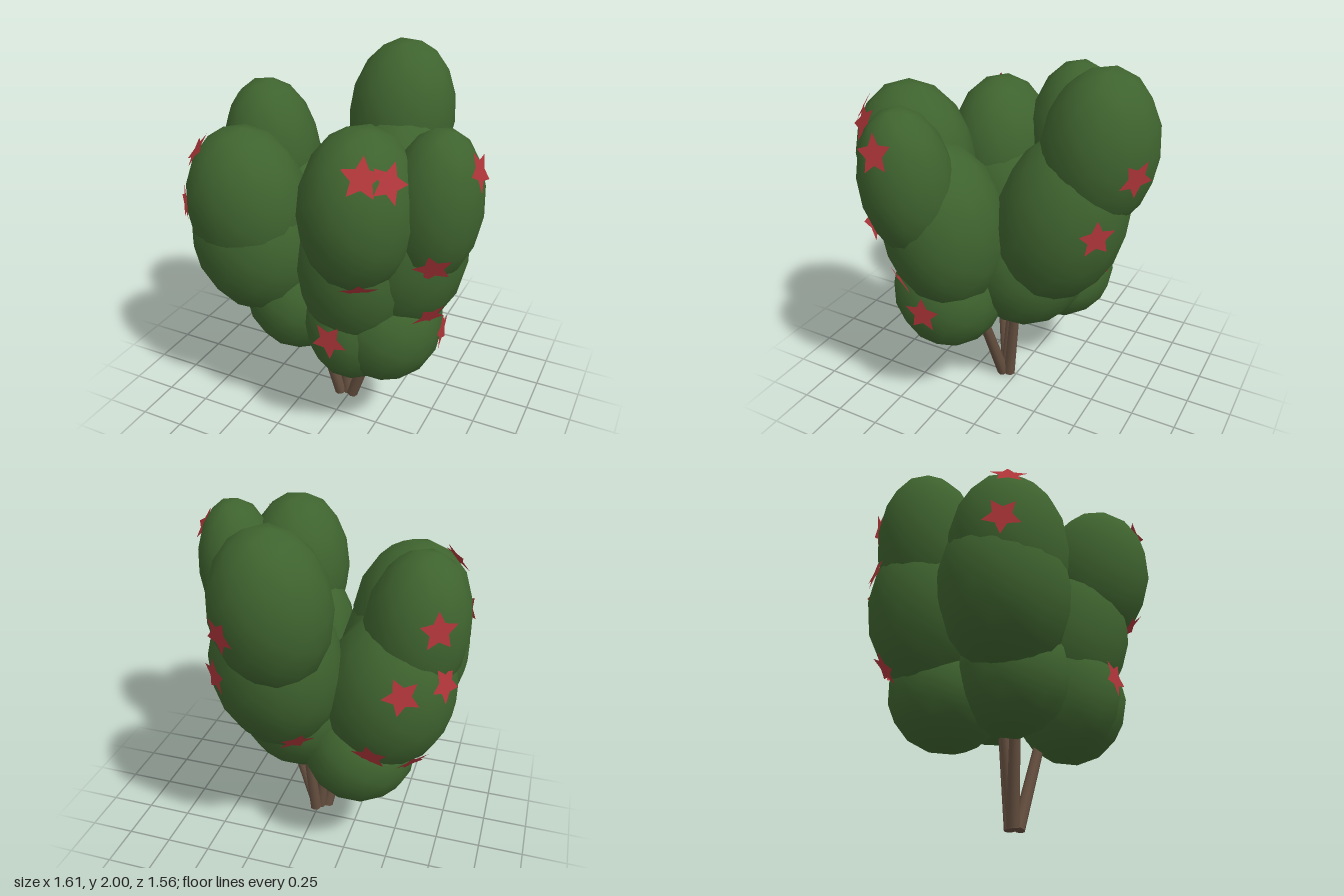
import * as THREE from 'three';

const leafGreen = new THREE.MeshStandardMaterial({ name: 'leafGreen', color: 0x3f642f });
const flowerRed = new THREE.MeshStandardMaterial({ name: 'flowerRed', color: 0xb0363a, side: THREE.DoubleSide });
const barkBrown = new THREE.MeshStandardMaterial({ name: 'barkBrown', color: 0x665040 });

const UP = new THREE.Vector3(0, 1, 0);
const OUT = new THREE.Vector3(0, 0, 1);

// Foliage clumps: centre, radii, lean of the long axis (x, z)
const CLUMPS = {
  backTop: [[0.06, 1.59, -0.49], [0.3, 0.42, 0.29], [0.05, -0.12]],
  backMiddle: [[0.1, 1.2, -0.32], [0.34, 0.5, 0.34], [0.05, -0.3]],
  backLow: [[0.05, 0.87, -0.1], [0.33, 0.38, 0.34], [0, -0.2]],
  sideTop: [[-0.56, 1.4, -0.1], [0.27, 0.42, 0.27], [-0.1, 0]],
  sideMiddle: [[-0.45, 1.05, -0.14], [0.35, 0.45, 0.33], [-0.15, 0]],
  sideLow: [[-0.3, 0.66, -0.14], [0.31, 0.3, 0.31], [0, 0]],
  cornerTop: [[-0.46, 1.27, 0.33], [0.33, 0.43, 0.3], [-0.1, 0.05]],
  cornerMiddle: [[-0.44, 1.07, 0.29], [0.36, 0.43, 0.33], [-0.15, 0.05]],
  cornerLow: [[-0.24, 0.72, 0.2], [0.3, 0.32, 0.3], [-0.1, 0.05]],
  frontTop: [[0.24, 1.43, 0.46], [0.29, 0.42, 0.32], [0.05, 0.1]],
  frontMiddle: [[0.18, 1.05, 0.34], [0.31, 0.45, 0.31], [0.1, 0.15]],
  frontLow: [[0.15, 0.72, 0.3], [0.26, 0.34, 0.3], [0, 0.05]],
  cheekTop: [[0.55, 1.44, 0.3], [0.23, 0.4, 0.24], [0.1, 0.05]],
  cheekMiddle: [[0.37, 1.15, 0.22], [0.33, 0.47, 0.32], [0.12, 0.1]],
  cheekLow: [[0.3, 0.73, 0.25], [0.3, 0.34, 0.31], [0, 0]],
};

// Approximate flower places; each is settled onto the foliage
const FLOWERS = [
  [0.36, 1.71, 0.7], [0.47, 1.69, 0.63], [0.77, 1.68, 0.32], [0.62, 1.21, 0.48],
  [0.31, 1.1, 0.62], [0.14, 0.75, 0.58], [0.58, 0.87, 0.37], [0.59, 0.73, 0.23],
  [-0.65, 1.56, 0.45], [-0.74, 1.28, 0.47], [0.22, 1.55, -0.74], [0.35, 1.26, -0.64],
  [-0.7, 1.51, -0.32], [-0.56, 1.19, -0.42], [-0.72, 1.2, -0.27], [-0.42, 0.8, -0.43],
  [-0.58, 0.81, -0.26], [-0.03, 0.9, -0.46],
];

// Stems: foot and a point further up
const STEMS = [
  [[0.01, 0, 0.04], [0.05, 0.6, -0.03]],
  [[0.02, 0, 0.08], [0.21, 0.55, 0.12]],
  [[-0.05, 0, 0.09], [-0.16, 0.55, 0.18]],
  [[-0.01, 0, 0.07], [-0.06, 0.55, 0.05]],
];

function makeClump([c, r, lean]) {
  const axis = new THREE.Vector3(lean[0], 1, lean[1]).normalize();
  return {
    centre: new THREE.Vector3(...c),
    radii: new THREE.Vector3(...r),
    turn: new THREE.Quaternion().setFromUnitVectors(UP, axis),
  };
}

// Push a point onto the clump that holds it most deeply; return place and normal
function settle(point, clumps) {
  const p = point.clone();
  let normal = OUT.clone();
  for (let pass = 0; pass < 5; pass++) {
    let best = null;
    for (const clump of clumps) {
      const q = p.clone().sub(clump.centre).applyQuaternion(clump.turn.clone().invert()).divide(clump.radii);
      if (!best || q.length() < best.q.length()) best = { clump, q };
    }
    const { clump, q } = best;
    q.normalize();
    normal = q.clone().divide(clump.radii).normalize().applyQuaternion(clump.turn);
    p.copy(q).multiplyScalar(1.01).multiply(clump.radii).applyQuaternion(clump.turn).add(clump.centre);
  }
  return { p, normal };
}

function starGeometry(outer, inner) {
  const shape = new THREE.Shape();
  for (let i = 0; i < 10; i++) {
    const a = (i / 10) * Math.PI * 2 + Math.PI / 2;
    const r = i % 2 ? inner : outer;
    if (i) shape.lineTo(Math.cos(a) * r, Math.sin(a) * r);
    else shape.moveTo(Math.cos(a) * r, Math.sin(a) * r);
  }
  shape.closePath();
  return new THREE.ShapeGeometry(shape);
}

export function createModel() {
  const bush = new THREE.Group();
  bush.name = 'floweringBush';

  // Foliage
  const foliage = new THREE.Group();
  foliage.name = 'foliage';
  const ball = new THREE.IcosahedronGeometry(1, 2);
  const clumps = [];
  for (const [name, spec] of Object.entries(CLUMPS)) {
    const clump = makeClump(spec);
    clumps.push(clump);
    const mesh = new THREE.Mesh(ball, leafGreen);
    mesh.name = name + 'Foliage';
    mesh.position.copy(clump.centre);
    mesh.quaternion.copy(clump.turn);
    mesh.scale.copy(clump.radii);
    foliage.add(mesh);
  }
  bush.add(foliage);

  // Stems
  const stems = new THREE.Group();
  stems.name = 'stems';
  for (const [a, b] of STEMS) {
    const foot = new THREE.Vector3(...a).setY(0.01);
    const tip = new THREE.Vector3(...b);
    const along = tip.clone().sub(foot);
    const stem = new THREE.Mesh(new THREE.CylinderGeometry(0.028, 0.034, along.length(), 8), barkBrown);
    stem.name = 'stem';
    stem.position.copy(foot).lerp(tip, 0.5);
    stem.quaternion.setFromUnitVectors(UP, along.normalize());
    stems.add(stem);
  }
  bush.add(stems);

  // Star flowers
  const flowers = new THREE.Group();
  flowers.name = 'flowers';
  const star = starGeometry(0.1, 0.05);
  FLOWERS.forEach((place, i) => {
    const { p, normal } = settle(new THREE.Vector3(...place), clumps);
    const flower = new THREE.Mesh(star, flowerRed);
    flower.name = 'flower';
    flower.position.copy(p);
    flower.quaternion.setFromUnitVectors(OUT, normal);
    flower.rotateZ(i * 0.9);
    flowers.add(flower);
  });
  bush.add(flowers);

  return bush;
}
